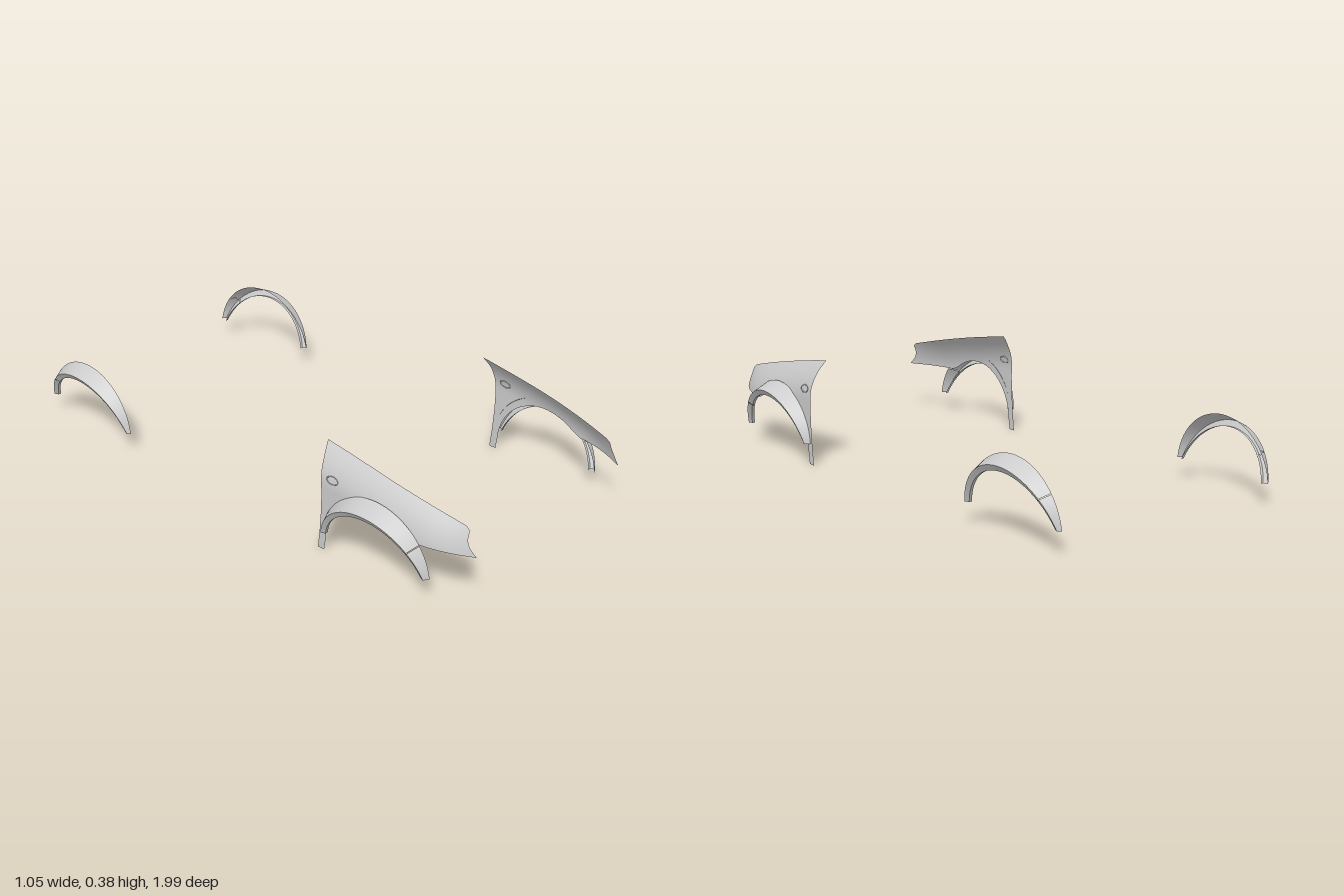
import * as THREE from 'three';

const material = new THREE.MeshStandardMaterial({ color: 0xcccccc, side: THREE.DoubleSide });
const { lerp, clamp } = THREE.MathUtils;

// Smooth sheet from point(u, v) returning [x, y, z]; side mirrors it in x
function sheet(name, side, nu, nv, point) {
  const pos = [], idx = [];
  for (let i = 0; i <= nu; i++) {
    for (let j = 0; j <= nv; j++) {
      const [x, y, z] = point(i / nu, j / nv);
      pos.push(side * x, y, z);
      if (i < nu && j < nv) {
        const a = i * (nv + 1) + j, b = a + nv + 1;
        if (side > 0) idx.push(a, b, a + 1, b, b + 1, a + 1);
        else idx.push(a, a + 1, b, b, a + 1, b + 1);
      }
    }
  }
  const g = new THREE.BufferGeometry();
  g.setAttribute('position', new THREE.Float32BufferAttribute(pos, 3));
  g.setIndex(idx);
  g.computeVertexNormals();
  const mesh = new THREE.Mesh(g, material);
  mesh.name = name;
  return mesh;
}

// Point on a polyline whose entries are [key, z, y]
function along(path, u) {
  let i = 1;
  while (i < path.length - 1 && u > path[i][0]) i++;
  const a = path[i - 1], b = path[i];
  const f = (u - a[0]) / (b[0] - a[0]);
  return [lerp(a[1], b[1], f), lerp(a[2], b[2], f)];
}

// Point on a circular arc with ends at y = 0.078; t runs from +z to -z
function arc(half, top, t) {
  const sag = top - 0.078;
  const r = (half * half + sag * sag) / (2 * sag);
  const start = Math.asin((r - sag) / r * -1 + 0) * -1;
  const a = lerp(start, Math.PI - start, t);
  return [r * Math.cos(a), top - r + r * Math.sin(a)];
}

// Sideways position of the fender skin: rolls in to the bonnet line and the nose
function topLine(z) {
  const f = clamp((z - 0.38) / 0.58, 0, 1.1);
  return 0.385 - 0.11 * f + 0.028 * f * (1 - f);
}
function skinX(z, y) {
  const inner = 0.405 - 0.033 * Math.pow(Math.max(0, z - 0.6) / 0.37, 2);
  const width = 0.058 - 0.036 * Math.pow(clamp((z - 0.8) / 0.19, 0, 1), 2);
  const u = clamp((topLine(z) - y) / 0.13, 0, 1);
  return inner + width * (1 - (1 - u) * (1 - u));
}

// Lower edge of the fender: sill line, wheel arch, rear leg
const lowerEdge = [[0, 0.993, 0.187], [0.25, 0.785, 0.187]];
for (let i = 1; i <= 20; i++) {
  const a = lerp(0.83, Math.PI - 0.03, i / 20);
  lowerEdge.push([0.25 + 0.65 * i / 20, 0.63 + 0.206 * Math.cos(a), 0.035 + 0.206 * Math.sin(a)]);
}
lowerEdge.push([1, 0.418, 0.001]);

// Upper edge: nose, bonnet line, then down the door gap
const upperEdge = [[0, 0.957, 0.268], [0.02, 0.94, topLine(0.94)]];
for (let i = 1; i <= 12; i++) {
  const z = lerp(0.94, 0.383, i / 12);
  upperEdge.push([0.02 + 0.63 * i / 12, z, topLine(z)]);
}
upperEdge.push([0.7, 0.395, 0.34], [0.75, 0.402, 0.285], [0.8, 0.406, 0.22],
  [0.86, 0.404, 0.15], [0.93, 0.398, 0.07], [1, 0.39, 0]);

function fender(side) {
  const group = new THREE.Group();
  group.name = side > 0 ? 'leftFrontFender' : 'rightFrontFender';
  group.add(sheet('fenderPanel', side, 100, 12, (u, v) => {
    const a = along(lowerEdge, u), b = along(upperEdge, u);
    // the nose edge is hollowed around the lamp
    const hollow = 0.012 * Math.sin(Math.PI * v) * Math.max(0, 1 - u * 8);
    const z = lerp(a[0], b[0], v) - hollow, y = lerp(a[1], b[1], v);
    return [skinX(z, y), y, z];
  }));
  // Raised rim of the side indicator
  const rim = [];
  for (let i = 0; i < 20; i++) {
    const a = i / 20 * Math.PI * 2;
    const z = 0.45 + 0.023 * Math.cos(a), y = 0.277 + 0.013 * Math.sin(a);
    rim.push(new THREE.Vector3(side * skinX(z, y), y, z));
  }
  const curve = new THREE.CatmullRomCurve3(rim, true);
  const ring = new THREE.Mesh(new THREE.TubeGeometry(curve, 32, 0.002, 6, true), material);
  ring.name = 'indicatorRim';
  group.add(ring);
  return group;
}

// Wheel arch flare: sloped face, narrow lip and short return, split at a seam
function flare(name, side, o) {
  const group = new THREE.Group();
  group.name = name;
  const ring = (half, top, x) => t => {
    const [dz, y] = arc(half, top, t);
    return [x(t, y), y, o.z + dz];
  };
  const lipX = (t, y) => lerp(o.lip[0], o.lip[1], t) + o.bulge * (y - 0.078) / 0.167;
  const bodyX = t => lerp(o.body[0], o.body[1], t);
  const rings = [
    ring(o.half, 0.275, bodyX),
    ring(o.half - 0.011, 0.245, lipX),
    ring(o.half - 0.027, 0.225, (t, y) => lipX(t, y) - 0.007),
    ring(o.half - 0.027, 0.226, (t, y) => lipX(t, y) - 0.018),
  ];
  const gap = 0.002;
  [[0, o.seam - gap], [o.seam + gap, 1]].forEach(([t0, t1]) => {
    ['flareFace', 'flareLip', 'flareReturn'].forEach((part, k) => {
      group.add(sheet(part, side, 36, 2, (u, v) => {
        const t = lerp(t0, t1, u), a = rings[k](t), b = rings[k + 1](t);
        return a.map((c, i) => lerp(c, b[i], v));
      }));
    });
  });
  return group;
}

export function createModel() {
  const model = new THREE.Group();
  model.name = 'fendersAndFlares';
  for (const side of [1, -1]) {
    const label = side > 0 ? 'left' : 'right';
    model.add(fender(side));
    model.add(flare(label + 'FrontFlare', side,
      { z: 0.635, half: 0.225, lip: [0.47, 0.484], body: [0.45, 0.464], bulge: 0.046, seam: 0.18 }));
    model.add(flare(label + 'RearFlare', side,
      { z: -0.768, half: 0.229, lip: [0.477, 0.455], body: [0.466, 0.443], bulge: 0.049, seam: 0.82 }));
  }
  return model;
}
